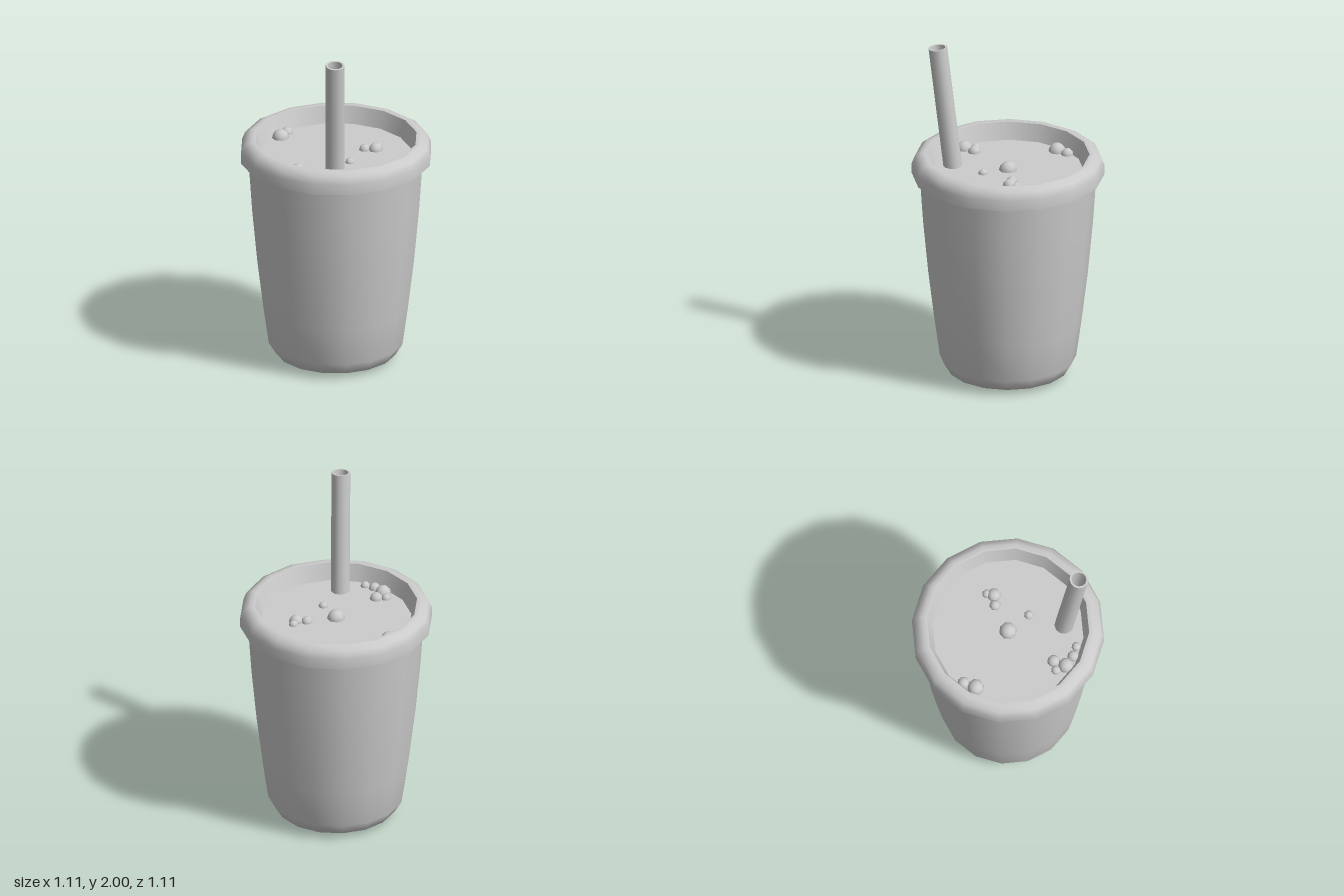
import * as THREE from 'three';

const LIQUID_Y = 1.262;
const grey = new THREE.MeshStandardMaterial({ color: 0xcccccc });
grey.name = 'light grey';

// Group of turned strips; each strip is smooth and meets the next at a sharp edge
function turned(name, sides, strips) {
  const group = new THREE.Group();
  group.name = name;
  strips.forEach((points, i) => {
    const profile = points.map(([r, y]) => new THREE.Vector2(r, y));
    const mesh = new THREE.Mesh(new THREE.LatheGeometry(profile, sides), grey);
    mesh.name = `${name}Strip${i + 1}`;
    group.add(mesh);
  });
  return group;
}

export function createModel() {
  const model = new THREE.Group();
  model.name = 'drinkCup';

  // Tapered cup with rounded foot
  model.add(turned('cupBody', 16, [
    [[0, 0], [0.28, 0]],
    [[0.28, 0], [0.35, 0.03], [0.393, 0.1], [0.425, 0.33], [0.46, 0.62], [0.49, 0.94], [0.51, 1.24]],
  ]));

  // Rolled rim: underside, rounded outside, inner wall
  model.add(turned('rim', 16, [
    [[0.5, 1.237], [0.555, 1.237]],
    [[0.555, 1.237], [0.555, 1.3], [0.538, 1.343], [0.5, 1.365], [0.47, 1.362]],
    [[0.47, 1.362], [0.437, LIQUID_Y]],
  ]));

  // Drink surface
  const drink = new THREE.Mesh(new THREE.CircleGeometry(0.437, 16), grey);
  drink.name = 'drinkSurface';
  drink.rotation.x = -Math.PI / 2;
  drink.position.y = LIQUID_Y;
  model.add(drink);

  // Bubbles half sunk in the drink: x, z, radius
  const bubbles = [
    [0, 0, 0.052], [0, -0.393, 0.05], [0.075, -0.402, 0.037],
    [-0.06, 0.142, 0.028], [0.14, 0.103, 0.033], [0.175, 0.155, 0.041], [0.215, 0.142, 0.027],
    [-0.395, -0.03, 0.047], [-0.357, -0.083, 0.028], [-0.32, -0.04, 0.038],
    [-0.405, 0.04, 0.035], [-0.393, 0.1, 0.028],
  ];
  for (const [x, z, r] of bubbles) {
    const bubble = new THREE.Mesh(new THREE.SphereGeometry(r, 8, 6), grey);
    bubble.name = 'bubble';
    bubble.position.set(x, LIQUID_Y, z);
    model.add(bubble);
  }

  // Hollow leaning straw
  const base = new THREE.Vector3(-0.262, 1.2, 0.18);
  const tip = new THREE.Vector3(-0.338, 1.993, 0.236);
  const axis = tip.clone().sub(base);
  const length = axis.length();
  const straw = turned('straw', 12, [
    [[0.055, 0], [0.055, length]],
    [[0.055, length], [0.043, length]],
    [[0.043, length], [0.043, 0]],
  ]);
  straw.position.copy(base);
  straw.quaternion.setFromUnitVectors(new THREE.Vector3(0, 1, 0), axis.normalize());
  model.add(straw);

  return model;
}
